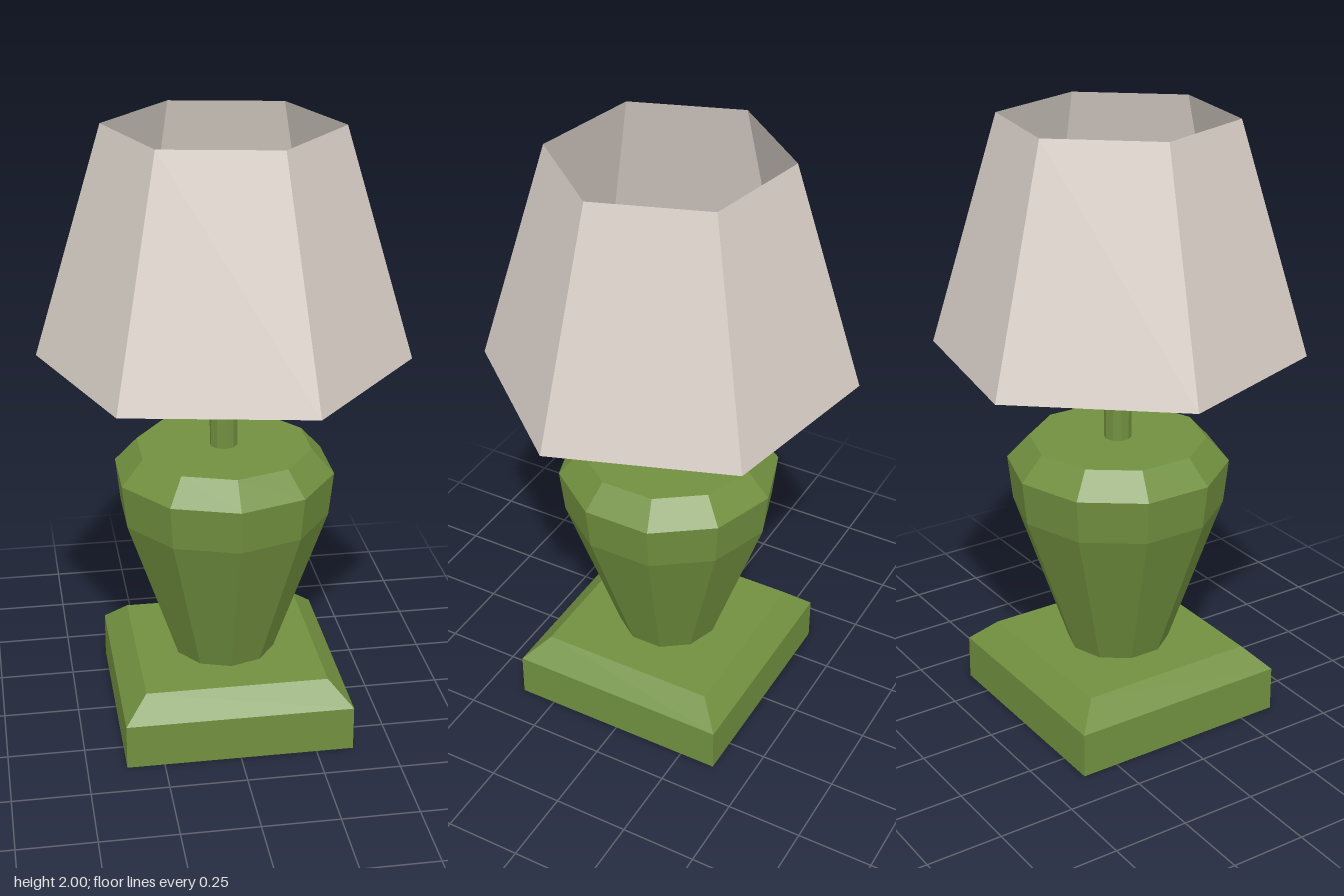
import * as THREE from 'three';

const green = new THREE.MeshStandardMaterial({ color: 0x71903f, flatShading: true });
const cream = new THREE.MeshStandardMaterial({ color: 0xd9d0c8, flatShading: true, side: THREE.DoubleSide });

// Faceted solid turned from [radius, y] pairs listed bottom to top
function turned(name, profile, sides, start = 0, material = green) {
  const points = profile.map(([r, y]) => new THREE.Vector2(r, y));
  const mesh = new THREE.Mesh(new THREE.LatheGeometry(points, sides, start), material);
  mesh.name = name;
  return mesh;
}

export function createModel() {
  const lamp = new THREE.Group();
  lamp.name = 'tableLamp';

  // Square plinth with a bevelled top
  const corner = Math.SQRT2;
  lamp.add(turned('base', [
    [0, 0], [0.372 * corner, 0], [0.372 * corner, 0.15], [0.298 * corner, 0.225], [0, 0.225],
  ], 4, Math.PI / 4));

  // Ten-sided vase body
  lamp.add(turned('body', [
    [0, 0.225], [0.17, 0.225], [0.345, 0.73], [0.361, 0.875], [0.287, 0.955], [0, 0.955],
  ], 10));

  // Stem running up into the bulb
  lamp.add(turned('stem', [[0, 0.955], [0.045, 0.955], [0.045, 1.6], [0, 1.6]], 10));

  // Faceted bulb, turned so that one vertex points straight up
  const bulbGeometry = new THREE.IcosahedronGeometry(0.139, 1);
  bulbGeometry.rotateZ(Math.atan2(2, 1 + Math.sqrt(5)));
  const bulb = new THREE.Mesh(bulbGeometry, green);
  bulb.name = 'bulb';
  bulb.position.y = 1.66;
  lamp.add(bulb);

  // Six-sided shade, open at both ends and slightly twisted
  lamp.add(turned('shade', [[0.596, 1.255], [0.373, 2]], 6, 0.343, cream));

  return lamp;
}
